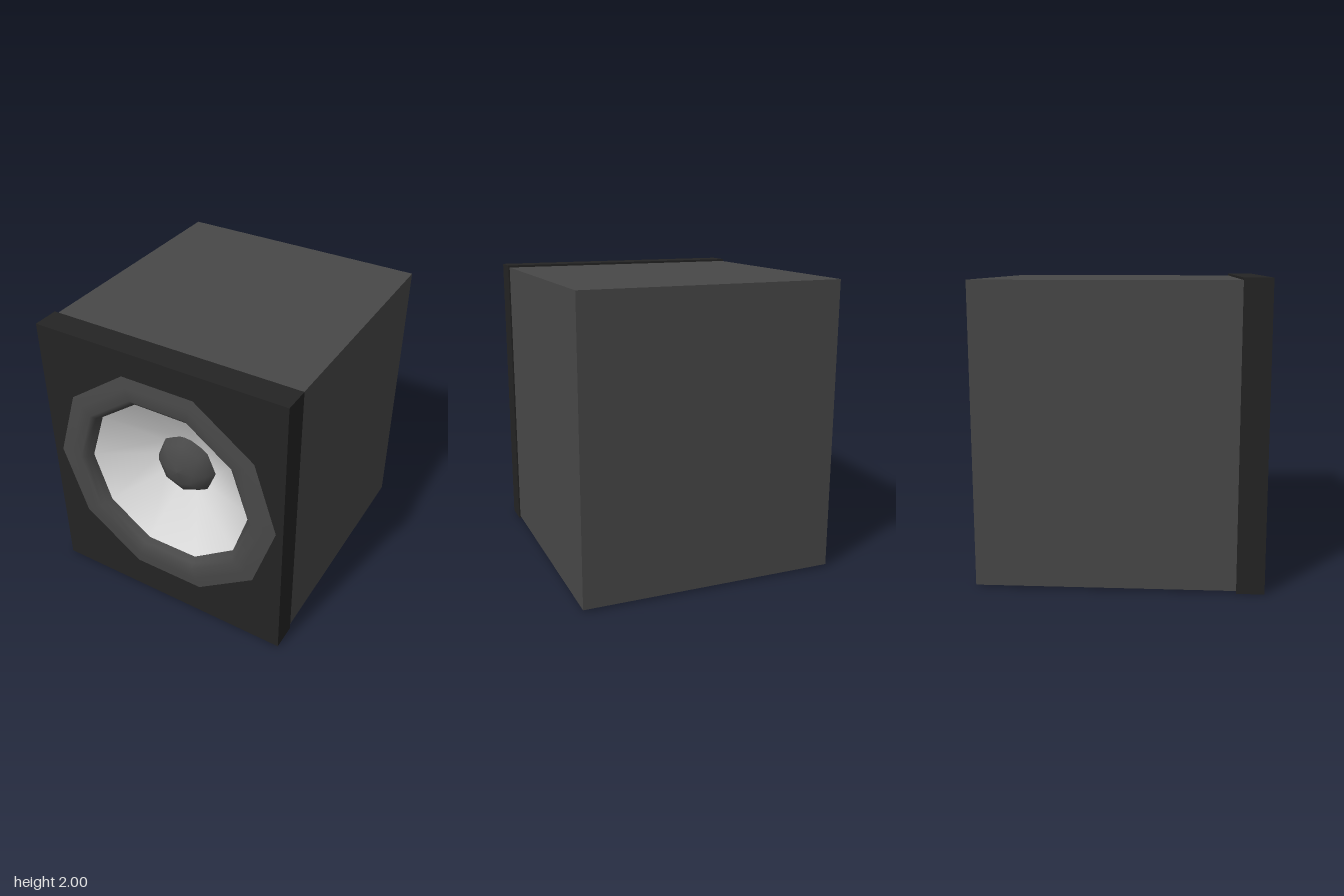
import * as THREE from 'three';

const mat = (name, color, side = THREE.FrontSide) => {
  const m = new THREE.MeshStandardMaterial({ color, side });
  m.name = name;
  return m;
};

export function createModel() {
  const group = new THREE.Group();
  const charcoal = mat('charcoal', 0x484848);
  const black = mat('black', 0x242424);
  const paper = mat('pale grey', 0xdcdcdc);
  const centreX = 0.008, centreY = 1.03;

  const add = (name, geometry, material, x, y, z) => {
    const mesh = new THREE.Mesh(geometry, material);
    mesh.name = name;
    mesh.position.set(x, y, z);
    group.add(mesh);
    return mesh;
  };

  // Low-poly turned part facing +z; profile is [radius, z] from rim to centre
  const turned = (name, profile, sides, material, x) => {
    const points = profile.map(([r, z]) => new THREE.Vector2(r, z));
    const geometry = new THREE.LatheGeometry(points, sides, Math.PI / 2);
    geometry.rotateX(Math.PI / 2);
    return add(name, geometry, material, x, centreY, 0);
  };

  // Cabinet, open at the front so the cone can sink into it
  const box = new THREE.BoxGeometry(1.76, 1.97, 1.69);
  const index = Array.from(box.index.array);
  index.splice(24, 6);
  box.setIndex(index);
  box.clearGroups();
  add('cabinet', box, charcoal, 0, 1, -0.095);

  // Front baffle with a ten-sided opening
  const shape = new THREE.Shape([
    new THREE.Vector2(-0.89, 0), new THREE.Vector2(0.89, 0),
    new THREE.Vector2(0.89, 2), new THREE.Vector2(-0.89, 2),
  ]);
  const opening = [];
  for (let i = 0; i < 10; i++) {
    const a = -i * Math.PI / 5;
    opening.push(new THREE.Vector2(centreX + 0.83 * Math.cos(a), centreY + 0.83 * Math.sin(a)));
  }
  shape.holes.push(new THREE.Path(opening));
  add('baffle', new THREE.ExtrudeGeometry(shape, { depth: 0.18, bevelEnabled: false }), black, 0, 0, 0.75);

  // Driver: rolled surround, cone and dust cap
  turned('surround', [[0.832, 0.93], [0.75, 0.939], [0.665, 0.942], [0.63, 0.915], [0.61, 0.87]], 10, charcoal, centreX);
  turned('cone', [[0.613, 0.87], [0.22, 0.63], [0, 0.6]], 10, paper, centreX);
  turned('dustCap', [[0.227, 0.63], [0.19, 0.69], [0.11, 0.735], [0, 0.75]], 8, charcoal, 0);

  return group;
}
